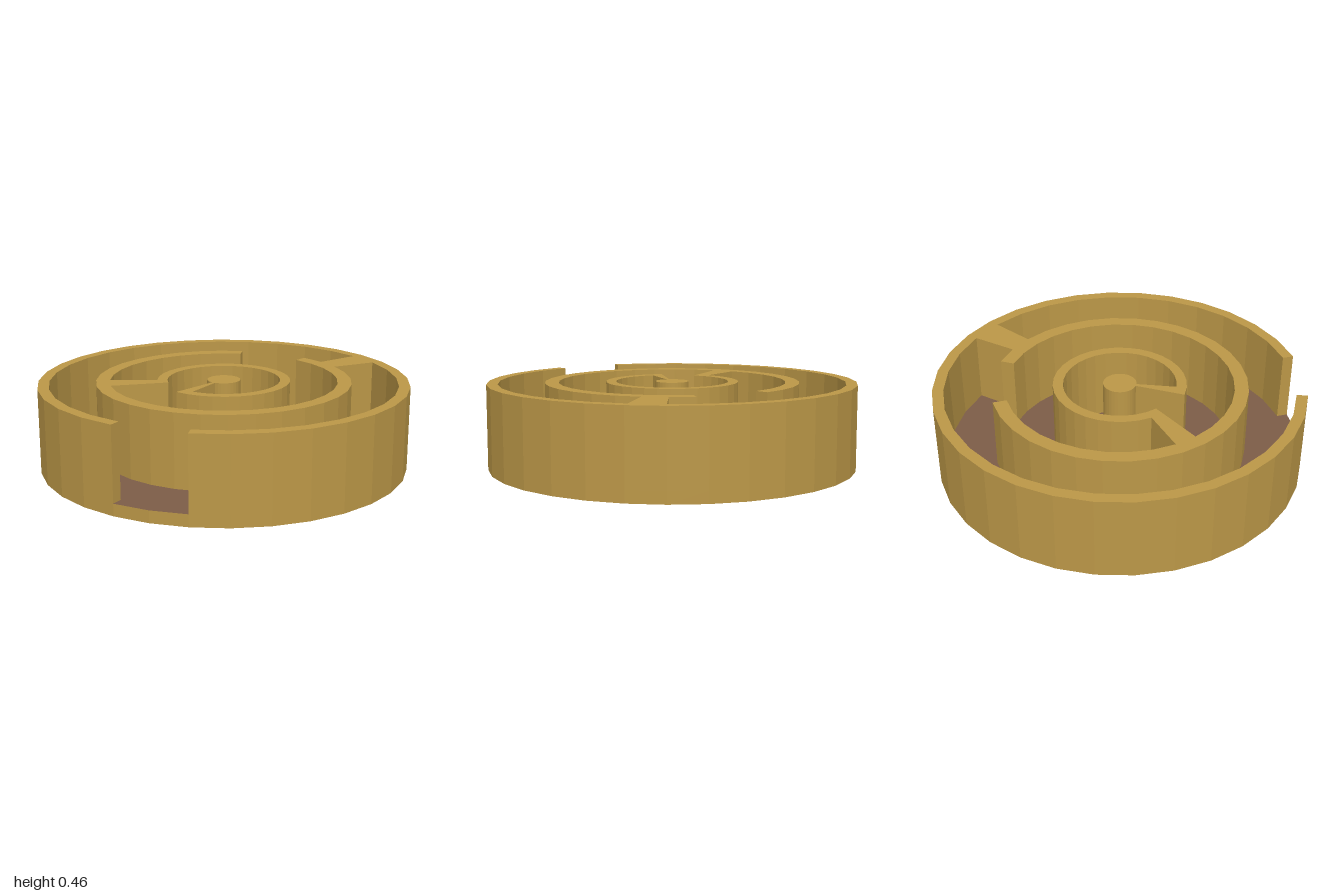
import * as THREE from 'three';

const SIDES = 32, FLOOR = 0.065, TOP = 0.46;

// Point at a radius and step; step 0 faces +z, rising towards +x
function point(r, step) {
  const a = (step / SIDES) * Math.PI * 2;
  return new THREE.Vector2(r * Math.sin(a), -r * Math.cos(a));
}

function arc(r, from, to) {
  const pts = [];
  for (let s = from; s <= to; s++) pts.push(point(r, s));
  return pts;
}

// Upright faceted prism standing on the floor
function prism(points) {
  const g = new THREE.ExtrudeGeometry(new THREE.Shape(points), { depth: TOP - FLOOR, bevelEnabled: false });
  return g.rotateX(-Math.PI / 2).translate(0, FLOOR, 0);
}

// Curved wall between two radii and two steps
function wall(rIn, rOut, from, to) {
  return prism([...arc(rOut, from, to), ...arc(rIn, from, to).reverse()]);
}

export function createModel() {
  const gold = new THREE.MeshStandardMaterial({ color: 0xbb9747 });
  gold.name = 'ochre wall';
  const brown = new THREE.MeshStandardMaterial({ color: 0x7c5c47 });
  brown.name = 'brown floor';

  const model = new THREE.Group();
  model.name = 'roundMaze';
  const add = (name, geometry, material = gold) => {
    const mesh = new THREE.Mesh(geometry, material);
    mesh.name = name;
    model.add(mesh);
  };

  // Base disc: ochre rim and underside, brown upper face
  const base = new THREE.CylinderGeometry(1, 1, FLOOR, SIDES).toNonIndexed();
  base.computeVertexNormals();
  add('base', base.translate(0, FLOOR / 2, 0), [gold, brown, gold]);

  // Concentric walls, each with one opening
  add('outerWall', wall(0.94, 1, 2, 32));
  add('middleWall', wall(0.615, 0.69, 18, 47));
  add('innerWall', wall(0.305, 0.36, -1, 28));

  // Wedge-shaped barriers joining the walls
  add('outerBarrier', wall(0.69, 0.94, 13, 14));
  add('middleBarrier', wall(0.36, 0.615, 27, 28));
  add('innerBarrier', wall(0.09, 0.305, -1, 0));

  // Centre post
  add('centrePost', prism(arc(0.09, 0, SIDES - 1)));
  return model;
}
